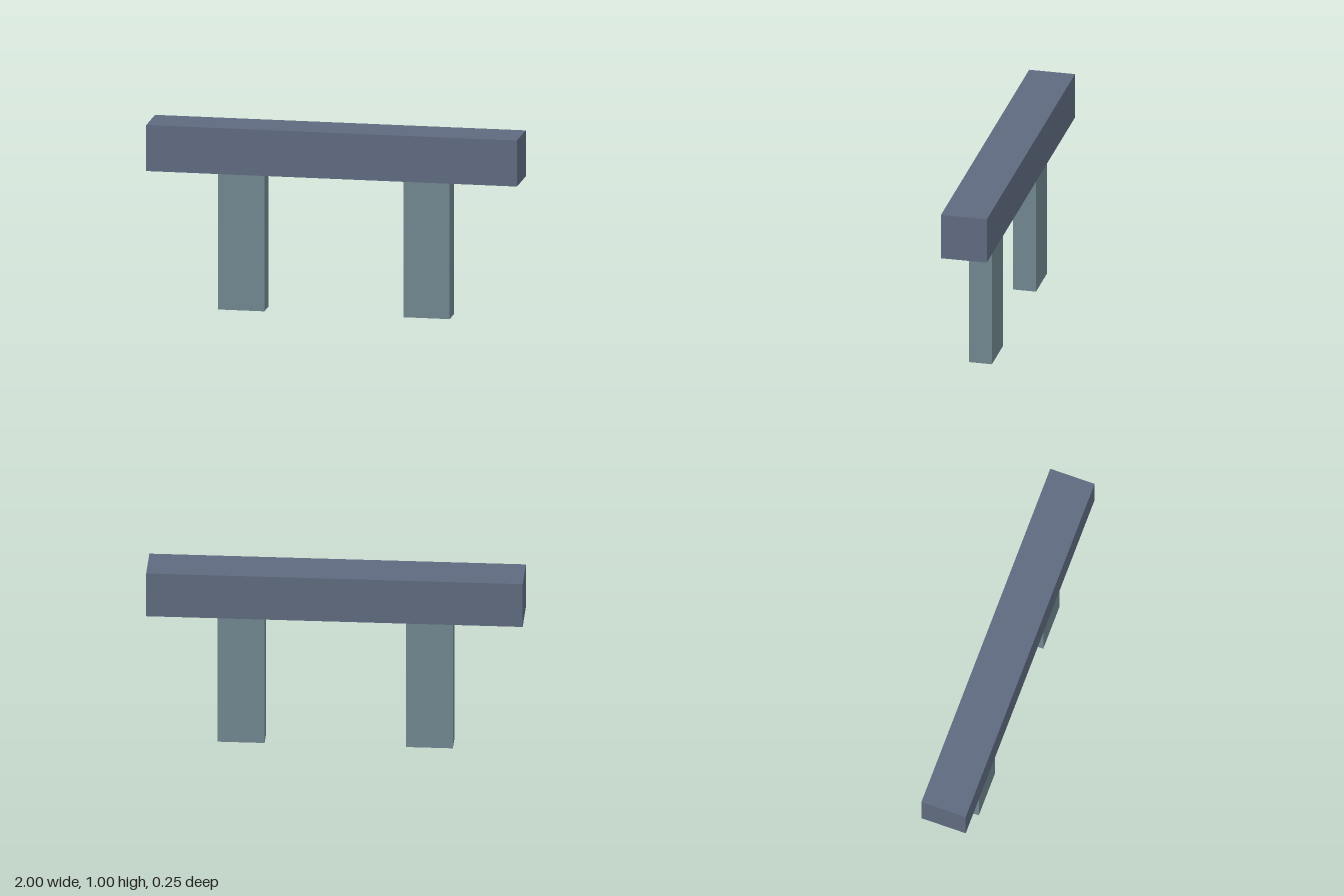
import * as THREE from 'three';

export function createModel() {
  const group = new THREE.Group();
  const slate = new THREE.MeshStandardMaterial({ color: 0x5f6a7f });
  slate.name = 'slate blue';
  const greyTeal = new THREE.MeshStandardMaterial({ color: 0x70868f });
  greyTeal.name = 'grey teal';

  const addBox = (name, size, position, material) => {
    const mesh = new THREE.Mesh(new THREE.BoxGeometry(...size), material);
    mesh.name = name;
    mesh.position.set(...position);
    group.add(mesh);
  };

  // Horizontal rail
  addBox('rail', [2, 0.25, 0.25], [0, 0.875, 0], slate);

  // Mirrored posts below the rail
  for (const [name, side] of [['leftPost', 1], ['rightPost', -1]]) {
    addBox(name, [0.25, 0.75, 0.125], [side * 0.5, 0.375, 0], greyTeal);
  }

  return group;
}
